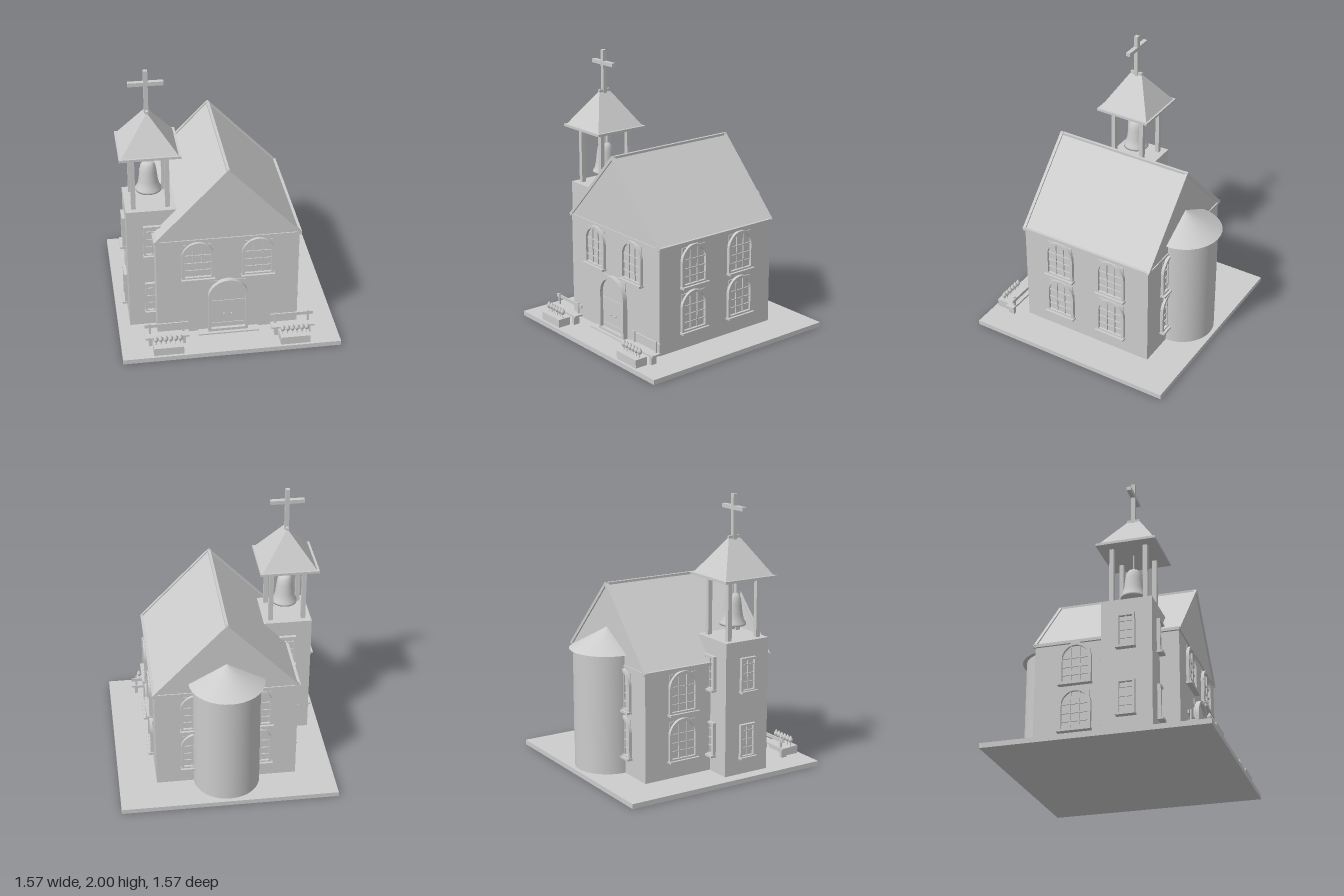
import * as THREE from 'three';

const stone = new THREE.MeshStandardMaterial({ color: 0xcccccc });
stone.name = 'light grey';

function add(parent, name, geo, x = 0, y = 0, z = 0) {
  const m = new THREE.Mesh(geo, stone);
  m.name = name;
  m.position.set(x, y, z);
  parent.add(m);
  return m;
}

// Box given by its min and max on each axis
function box(parent, name, x0, x1, y0, y1, z0, z1) {
  return add(parent, name, new THREE.BoxGeometry(x1 - x0, y1 - y0, z1 - z0),
    (x0 + x1) / 2, (y0 + y1) / 2, (z0 + z1) / 2);
}

// Square bar between two points
function bar(parent, name, a, b, t) {
  const p = new THREE.Vector3(...a), q = new THREE.Vector3(...b);
  const m = add(parent, name, new THREE.BoxGeometry(t, t, p.distanceTo(q) + t * 0.6));
  m.position.copy(p).add(q).multiplyScalar(0.5);
  m.lookAt(q);
}

// Opening outline: straight sides to the spring line, then a half circle or a flat head
function outline(C, w, y0, y1, arched) {
  const s = new C();
  s.moveTo(-w, y0);
  s.lineTo(w, y0);
  s.lineTo(w, y1);
  if (arched) s.absarc(0, y1, w, 0, Math.PI, false);
  else s.lineTo(-w, y1);
  s.closePath();
  return s;
}

function extrude(shape, depth) {
  return new THREE.ExtrudeGeometry(shape, { depth, bevelEnabled: false, curveSegments: 12 });
}

function frame(parent, w, spring, t, depth, arched) {
  const s = outline(THREE.Shape, w, 0, spring, arched);
  s.holes.push(outline(THREE.Path, w - t, t, arched ? spring : spring - t, arched));
  add(parent, 'frame', extrude(s, depth));
}

// Window facing +z, standing on its own origin
function makeWindow(parent, x, y, z, turn, arched) {
  const g = new THREE.Group();
  g.name = arched ? 'archedWindow' : 'towerWindow';
  const w = arched ? 0.115 : 0.062, spring = arched ? 0.19 : 0.245;
  const top = arched ? spring + w : spring;
  frame(g, w, spring, arched ? 0.02 : 0.015, 0.024, arched);
  box(g, 'pane', -w + 0.012, w - 0.012, 0.01, top - 0.018, -0.005, 0.005);
  for (const vx of arched ? [-0.032, 0.032] : [0])
    box(g, 'upright', vx - 0.004, vx + 0.004, 0.01, top - 0.012, 0, 0.014);
  for (const hy of [0.07, 0.13, 0.195])
    box(g, 'crossbar', -w + 0.01, w - 0.01, hy - 0.004, hy + 0.004, 0, 0.013);
  box(g, 'sill', -w - 0.005, w + 0.005, -0.008, 0.008, 0, 0.042);
  g.position.set(x, y, z);
  g.rotation.y = turn;
  parent.add(g);
}

// Hipped roof solid: rectangular base and a ridge along z
function hipGeometry(hx, hz, ridge, h) {
  const A = [-hx, 0, hz], B = [hx, 0, hz], C = [hx, 0, -hz], D = [-hx, 0, -hz];
  const F = [0, h, ridge], K = [0, h, -ridge];
  const faces = [A, B, F, B, C, K, B, K, F, C, D, K, D, A, F, D, F, K, A, D, C, A, C, B];
  const geo = new THREE.BufferGeometry();
  geo.setAttribute('position', new THREE.Float32BufferAttribute(faces.flat(), 3));
  geo.computeVertexNormals();
  return geo;
}

function makeNave(root) {
  const g = new THREE.Group();
  g.name = 'nave';
  root.add(g);
  box(g, 'walls', -0.51, 0.51, 0.035, 0.82, -0.515, 0.515);
  add(g, 'gableRoof', hipGeometry(0.52, 0.517, 0.517, 0.545), 0, 0.815, 0);

  // Trim along the roof edges
  const X = 0.515, Y = 0.819, T = 1.357, Z = 0.517, t = 0.022;
  for (const s of [-1, 1]) {
    bar(g, 'eaveTrim', [s * X, Y, -Z], [s * X, Y, Z], t);
    bar(g, 'gableFootTrim', [-X, Y, s * Z], [X, Y, s * Z], 0.016);
    for (const k of [-1, 1]) bar(g, 'gableTrim', [k * X, Y, s * Z], [0, T, s * Z], t);
  }
  bar(g, 'ridgeTrim', [0, T, -Z], [0, T, Z], 0.02);

  // Windows on two levels
  for (const s of [-1, 1]) {
    makeWindow(g, s * 0.215, 0.5, 0.513, 0, true);
    for (const y of [0.16, 0.5]) {
      makeWindow(g, s * 0.215, y, -0.513, Math.PI, true);
      makeWindow(g, 0.512, y, s * 0.215, Math.PI / 2, true);
    }
  }
  for (const y of [0.16, 0.5]) makeWindow(g, -0.512, y, -0.215, -Math.PI / 2, true);

  // Rounded apse at the back
  add(g, 'apseWall', new THREE.CylinderGeometry(0.24, 0.24, 0.865, 24, 1, true, Math.PI / 2, Math.PI), 0, 0.4675, -0.515);
  add(g, 'apseRoof', new THREE.CylinderGeometry(0.001, 0.27, 0.15, 18, 1, false, Math.PI / 2, Math.PI), 0, 0.975, -0.515);
}

function makeDoor(root) {
  const g = new THREE.Group();
  g.name = 'door';
  g.position.set(0, 0.045, 0.513);
  root.add(g);
  frame(g, 0.145, 0.29, 0.02, 0.04, true);
  box(g, 'doorSurround', -0.13, 0.13, 0, 0.42, 0, 0.008);
  add(g, 'doorLeaf', extrude(outline(THREE.Shape, 0.13, 0.01, 0.29, true), 0.015));
  for (const y of [0.055, 0.25]) box(g, 'doorRail', -0.118, 0.118, y - 0.004, y + 0.004, 0.01, 0.02);
  for (const s of [-1, 1])
    add(g, 'doorKnob', new THREE.SphereGeometry(0.008, 10, 8), s * 0.028, 0.135, 0.02);
  box(root, 'doorStep', -0.22, 0.22, 0.035, 0.045, 0.51, 0.577);
}

function makeTower(root) {
  const g = new THREE.Group();
  g.name = 'bellTower';
  g.position.set(-0.52, 0, 0.2);
  root.add(g);
  box(g, 'towerWalls', -0.178, 0.178, 0.035, 1, -0.178, 0.178);
  for (const y of [0.157, 0.638])
    for (const a of [0, Math.PI, -Math.PI / 2])
      makeWindow(g, Math.sin(a) * 0.178, y, Math.cos(a) * 0.178, a, false);
  for (const x of [-0.12, 0.12])
    for (const z of [-0.12, 0.12])
      box(g, 'belfryPost', x - 0.016, x + 0.016, 1, 1.43, z - 0.016, z + 0.016);

  // Bell with clapper and hanger
  const profile = [[0, 1.08], [0.092, 1.08], [0.092, 1.095], [0.078, 1.115], [0.068, 1.16],
    [0.06, 1.23], [0.052, 1.275], [0.035, 1.3], [0, 1.302]];
  for (let i = 0; i < profile.length - 1; i++) profile[i] = new THREE.Vector2(...profile[i]);
  profile[profile.length - 1] = new THREE.Vector2(0, 1.302);
  add(g, 'bell', new THREE.LatheGeometry(profile, 28));
  add(g, 'clapper', new THREE.SphereGeometry(0.02, 14, 10), 0, 1.066, 0);
  add(g, 'bellHanger', new THREE.CylinderGeometry(0.006, 0.006, 0.14, 8), 0, 1.365, 0);

  // Roof and cross
  box(g, 'roofSlab', -0.213, 0.213, 1.423, 1.441, -0.213, 0.213);
  add(g, 'towerRoof', hipGeometry(0.197, 0.2, 0.042, 0.262), 0, 1.44, 0);
  box(g, 'towerRidge', -0.009, 0.009, 1.69, 1.71, -0.047, 0.047);
  box(g, 'crossPost', -0.015, 0.015, 1.68, 2, -0.015, 0.015);
  box(g, 'crossArm', -0.122, 0.122, 1.89, 1.918, -0.016, 0.016);
}

function makeBench(root, x) {
  const g = new THREE.Group();
  g.name = 'bench';
  g.position.set(x, 0, 0);
  root.add(g);
  box(g, 'seat', -0.157, 0.157, 0.098, 0.112, 0.59, 0.66);
  box(g, 'backRest', -0.157, 0.157, 0.158, 0.183, 0.588, 0.598);
  for (const s of [-1, 1]) {
    box(g, 'leg', s * 0.12 - 0.012, s * 0.12 + 0.012, 0.035, 0.1, 0.603, 0.65);
    box(g, 'backPost', s * 0.12 - 0.008, s * 0.12 + 0.008, 0.1, 0.195, 0.596, 0.606);
  }
}

function makePlanter(root, x) {
  const g = new THREE.Group();
  g.name = 'planter';
  g.position.set(x, 0, 0.717);
  root.add(g);
  box(g, 'trough', -0.107, 0.107, 0.035, 0.095, -0.049, 0.049);
  const bud = [[0, 0.118], [0.01, 0.122], [0.017, 0.135], [0.016, 0.148], [0.008, 0.162], [0, 0.174]]
    .map(p => new THREE.Vector2(...p));
  for (let i = 0; i < 6; i++) {
    const fx = (i - 2.5) * 0.035;
    add(g, 'stem', new THREE.CylinderGeometry(0.003, 0.003, 0.03, 6), fx, 0.108, 0);
    add(g, 'flower', new THREE.LatheGeometry(bud, 12), fx, 0, 0);
  }
}

export function createModel() {
  const root = new THREE.Group();
  root.name = 'chapel';
  box(root, 'base', -0.785, 0.785, 0, 0.035, -0.785, 0.785);
  makeNave(root);
  makeDoor(root);
  makeTower(root);
  for (const s of [-1, 1]) {
    makeBench(root, s * 0.455);
    makePlanter(root, s * 0.456);
  }
  return root;
}
